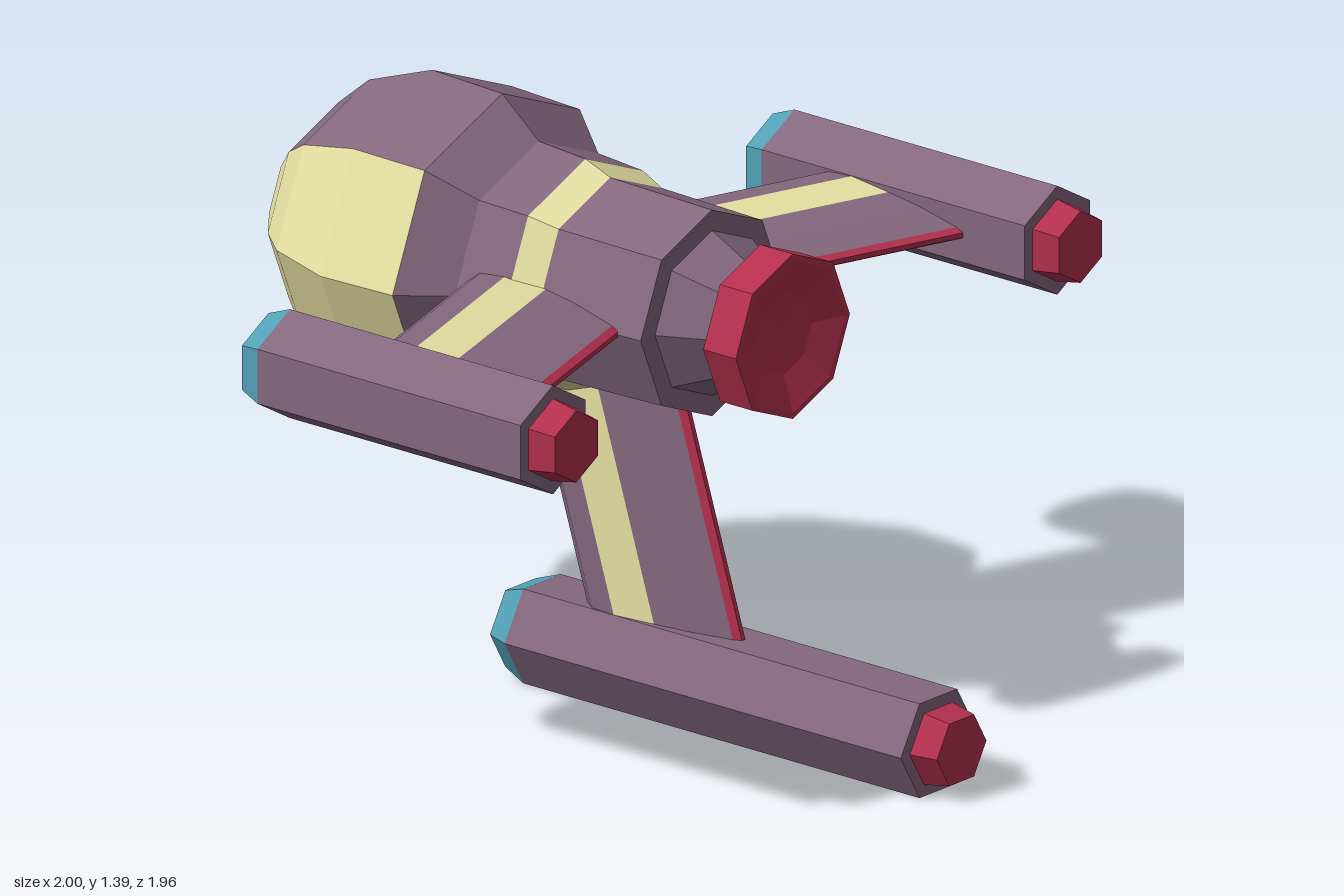
import * as THREE from 'three';

const paint = (color) => new THREE.MeshStandardMaterial({ color, flatShading: true, side: THREE.DoubleSide });
const purple = paint(0x84687e);
const yellow = paint(0xe6e0a2);
const red = paint(0xb5304f);
const teal = paint(0x529fb5);

function part(parent, name, geometry, material) {
  const mesh = new THREE.Mesh(geometry, material);
  mesh.name = name;
  parent.add(mesh);
  return mesh;
}

// Faceted body of revolution along z; profile is [z, radius], angle 0 points down
function turned(profile, sides, start = 0, length = Math.PI * 2) {
  const points = profile.map(([z, r]) => new THREE.Vector2(r, z));
  return new THREE.LatheGeometry(points, sides, start, length).rotateX(Math.PI / 2);
}

// Swept slab of a pylon: symmetric section [z, half thickness], sheared along x
function slab(section) {
  const upper = section.map(([z, y]) => new THREE.Vector2(-z, y));
  const lower = section.map(([z, y]) => new THREE.Vector2(-z, -y)).reverse();
  const geometry = new THREE.ExtrudeGeometry(new THREE.Shape([...upper, ...lower]), { depth: 0.65, bevelEnabled: false });
  const slope = 0.315;
  geometry.rotateY(Math.PI / 2).translate(0.17, 0, 0);
  return geometry.applyMatrix4(new THREE.Matrix4().set(
    1, 0, 0, 0,
    0, 1, 0, 0,
    slope, 0, 1, -0.77 * slope,
    0, 0, 0, 1));
}

// Pylon with an engine pod at its end, pointing along +x
function createArm(name, angle, front) {
  const arm = new THREE.Group();
  arm.name = name;

  part(arm, 'pylonRear', slab([[-0.12, 0.03], [-0.08, 0.06], [-0.01, 0.065]]), purple);
  part(arm, 'pylonStripe', slab([[-0.01, 0.065], [0.1, 0.052]]), yellow);
  part(arm, 'pylonFront', slab([[0.1, 0.052], [0.19, 0.04], [0.305, 0.015]]), purple);
  part(arm, 'pylonLeadingEdge', slab([[0.305, 0.015], [0.325, 0.006]]), red);

  const pod = new THREE.Group();
  pod.name = 'enginePod';
  pod.position.x = 0.885;
  part(pod, 'podBody', turned([[-0.28, 0.132], [front, 0.132], [front, 0]], 6), purple);
  part(pod, 'podTip', turned([[front, 0.1], [front + 0.07, 0.087], [front + 0.07, 0]], 6), red);
  part(pod, 'podTail', turned([[-0.37, 0], [-0.365, 0.062], [-0.345, 0.107], [-0.28, 0.132]], 6), teal);
  arm.add(pod);

  arm.position.y = 1;
  arm.rotation.z = angle;
  return arm;
}

export function createModel() {
  const model = new THREE.Group();
  model.name = 'spaceship';

  const hull = new THREE.Group();
  hull.name = 'hull';
  hull.position.y = 1;
  model.add(hull);

  // Rounded rear section with coloured panels on both sides
  const bulb = [[-0.98, 0.14], [-0.89, 0.25], [-0.8, 0.325], [-0.61, 0.393], [-0.4, 0.385]];
  const quarter = Math.PI / 2;
  for (let i = 0; i < 4; i++) {
    const isSide = i % 2 === 1;
    part(hull, isSide ? 'sidePanel' : 'bulbPanel',
      turned(bulb, 2, (i - 0.5) * quarter, quarter), isSide ? yellow : purple);
  }
  part(hull, 'rearCap', turned([[-0.98, 0], [-0.98, 0.14]], 8), yellow);
  part(hull, 'shoulder', turned([[-0.4, 0.385], [-0.29, 0.295], [-0.15, 0.285]], 8), purple);

  // Neck with a stripe, stepping down to the nose
  part(hull, 'neckStripe', turned([[-0.15, 0.285], [-0.075, 0.257]], 8), yellow);
  part(hull, 'neck', turned([[-0.075, 0.257], [0.23, 0.25], [0.23, 0.2], [0.36, 0.135]], 8), purple);

  // Dished nose
  part(hull, 'noseDish', turned([
    [0.35, 0], [0.35, 0.16], [0.375, 0.2], [0.473, 0.2], [0.473, 0.185], [0.445, 0.1], [0.435, 0]], 8), red);

  model.add(createArm('leftArm', 0, 0.51));
  model.add(createArm('rightArm', Math.PI, 0.51));
  model.add(createArm('lowerArm', -Math.PI / 2, 0.91));
  return model;
}
